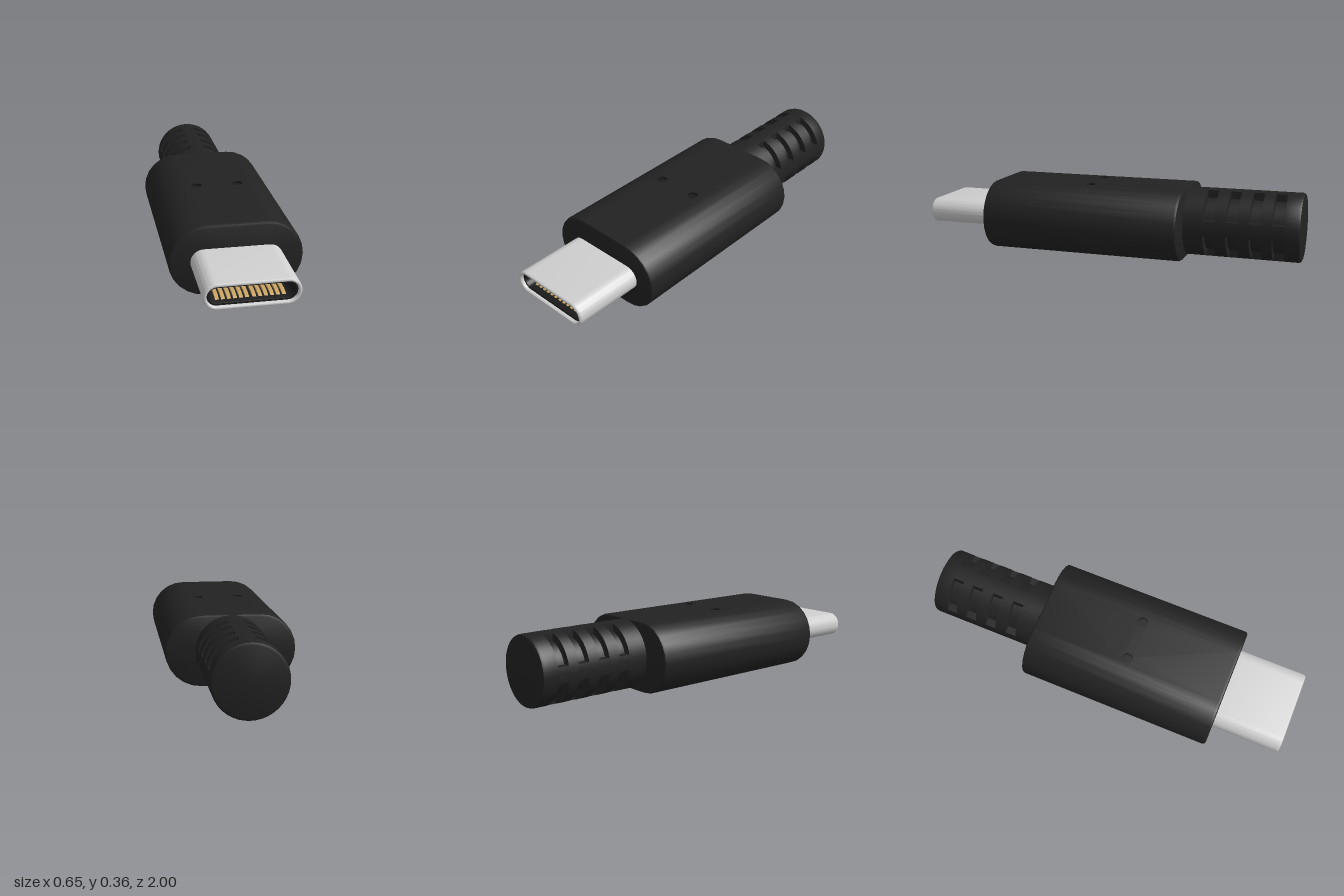
import * as THREE from 'three';
import { mergeGeometries, toCreasedNormals } from 'three/addons/utils/BufferGeometryUtils.js';

const CY = 0.1815; // height of the long axis
const mat = (name, color) => new THREE.MeshStandardMaterial({ name, color });

// Stadium outline, counter-clockwise seen from +z; hx = half of the straight run
function stadium(hx, r, n) {
  const pts = [];
  for (const side of [1, -1]) {
    for (let i = 0; i <= n; i++) {
      const a = (side > 0 ? -Math.PI / 2 : Math.PI / 2) + (Math.PI * i) / n;
      pts.push([side * hx + r * Math.cos(a), CY + r * Math.sin(a)]);
    }
  }
  return pts;
}

// Skin over stadium rings given as [inset, z]; skip(i, j) leaves a quad open
function loft(hx, r, n, rings, { capStart, capEnd, skip = () => false } = {}) {
  const pos = [];
  const loops = rings.map(([inset, z]) => stadium(hx, r - inset, n).map(([x, y]) => [x, y, z]));
  const m = loops[0].length;
  const tri = (...p) => p.forEach((v) => pos.push(...v));
  for (let j = 0; j < m; j++) {
    const k = (j + 1) % m;
    for (let i = 0; i < loops.length - 1; i++) {
      if (skip(i, j)) continue;
      const [a, b, c, d] = [loops[i][j], loops[i][k], loops[i + 1][k], loops[i + 1][j]];
      tri(a, b, c);
      tri(a, c, d);
    }
    const first = loops[0], last = loops[loops.length - 1];
    if (capStart) tri([0, CY, first[0][2]], first[k], first[j]);
    if (capEnd) tri([0, CY, last[0][2]], last[j], last[k]);
  }
  const g = new THREE.BufferGeometry();
  g.setAttribute('position', new THREE.Float32BufferAttribute(pos, 3));
  g.computeVertexNormals();
  return g;
}

export function createModel() {
  const model = new THREE.Group();
  model.name = 'cablePlug';
  const rubber = mat('blackRubber', 0x222222);
  const liner = mat('darkLiner', 0x1a1a1a);
  const steel = mat('steel', 0xcfcfcf);
  const gold = mat('gold', 0xc8a464);
  const add = (name, geometry, material, parent = model) => {
    const mesh = new THREE.Mesh(geometry, material);
    mesh.name = name;
    parent.add(mesh);
    return mesh;
  };

  // Grip housing: rounded ends, top strip left open for a panel with two dimples
  const hx = 0.145, r = 0.1815, z0 = -0.41, z1 = 0.637, b = 0.014;
  const shell = loft(hx, r, 12, [
    [b, z0], [0.004, z0 + 0.004], [0, z0 + b], [0, z1 - b], [0.004, z1 - 0.004], [b, z1],
  ], { capStart: true, capEnd: true, skip: (i, j) => i === 2 && j === 12 });
  const top = new THREE.Shape();
  top.moveTo(-hx, -z1 + b).lineTo(hx, -z1 + b).lineTo(hx, -z0 - b).lineTo(-hx, -z0 - b).closePath();
  for (const s of [-1, 1]) top.holes.push(new THREE.Path().absarc(s * 0.108, -0.108, 0.027, 0, Math.PI * 2, true));
  const panel = new THREE.ShapeGeometry(top, 12).rotateX(-Math.PI / 2).translate(0, CY + r, 0).toNonIndexed();
  panel.deleteAttribute('uv');
  add('housing', toCreasedNormals(mergeGeometries([shell, panel]), 0.5), rubber);

  // Dimples sunk into the top
  for (const s of [-1, 1]) {
    const cup = new THREE.LatheGeometry(
      [[0.027, 0], [0.027, -0.012], [0.0001, -0.012]].map((p) => new THREE.Vector2(...p)), 24);
    add('dimple', toCreasedNormals(cup, 0.5), liner).position.set(s * 0.108, CY + r, 0.108);
  }

  // Metal sleeve with a rounded rim, and the dark lining inside it
  const px = 0.159, pr = 0.064;
  add('plugSleeve', toCreasedNormals(loft(px, pr, 24, [
    [0, 0.62], [0, 0.988], [0.002, 0.995], [0.007, 1], [0.011, 1], [0.015, 0.996], [0.017, 0.988], [0.017, 0.975],
  ]), 0.9), steel);
  add('plugLining', toCreasedNormals(loft(px, pr, 24, [
    [0.016, 0.982], [0.026, 0.982], [0.028, 0.978], [0.028, 0.66],
  ], { capEnd: true }), 0.5), liner);

  // Two rows of twelve contacts with sloped front ends
  const contacts = new THREE.Group();
  contacts.name = 'contacts';
  model.add(contacts);
  const profile = new THREE.Shape();
  profile.moveTo(0.66, -0.002).lineTo(0.955, -0.002).lineTo(0.94, 0.005).lineTo(0.91, 0.011).lineTo(0.66, 0.011).closePath();
  const pin = new THREE.ExtrudeGeometry(profile, { depth: 0.017, bevelEnabled: false })
    .translate(0, 0, -0.0085).rotateY(-Math.PI / 2);
  for (const row of [-1, 1]) {
    for (let i = 0; i < 12; i++) {
      const x = (i < 6 ? -0.153 : -0.151 + 0.003) + i * 0.0272;
      const mesh = add('contact', pin, gold, contacts);
      mesh.position.set(x, CY + row * 0.036, 0);
      if (row > 0) {
        // flip about z so the pin hangs from the roof
        mesh.rotation.z = Math.PI;
      }
    }
  }

  // Strain relief: solid bands joined by a core with four spines
  const relief = new THREE.Group();
  relief.name = 'strainRelief';
  relief.position.y = CY;
  model.add(relief);
  const R = 0.178, core = 0.14, half = 0.039;
  const bands = [[-0.512, -0.4], [-0.63, -0.57], [-0.747, -0.688], [-0.86, -0.805]];
  for (const [a, c] of bands) {
    const g = new THREE.CylinderGeometry(R, R, c - a, 40).rotateX(Math.PI / 2);
    add('reliefBand', g, rubber, relief).position.z = (a + c) / 2;
  }
  const end = new THREE.LatheGeometry(
    [[0.0001, -1], [R - 0.014, -1], [R - 0.004, -0.996], [R, -0.986], [R, -0.918], [0.0001, -0.918]]
      .map((p) => new THREE.Vector2(...p)), 40).rotateX(Math.PI / 2);
  add('reliefEnd', toCreasedNormals(end, 0.5), rubber, relief);

  const section = new THREE.Shape();
  const outer = Math.asin(half / R), inner = Math.asin(half / core);
  for (let q = 0; q < 4; q++) {
    const a = (q * Math.PI) / 2;
    section.absarc(0, 0, R, a - outer, a + outer, false);
    section.absarc(0, 0, core, a + inner, a + Math.PI / 2 - inner, false);
  }
  for (const [a, c] of [[-0.572, -0.51], [-0.69, -0.628], [-0.807, -0.745], [-0.92, -0.858]]) {
    const g = new THREE.ExtrudeGeometry(section, { depth: c - a, bevelEnabled: false, curveSegments: 8 });
    add('reliefSlots', toCreasedNormals(g, 0.5), rubber, relief).position.z = a;
  }
  return model;
}
